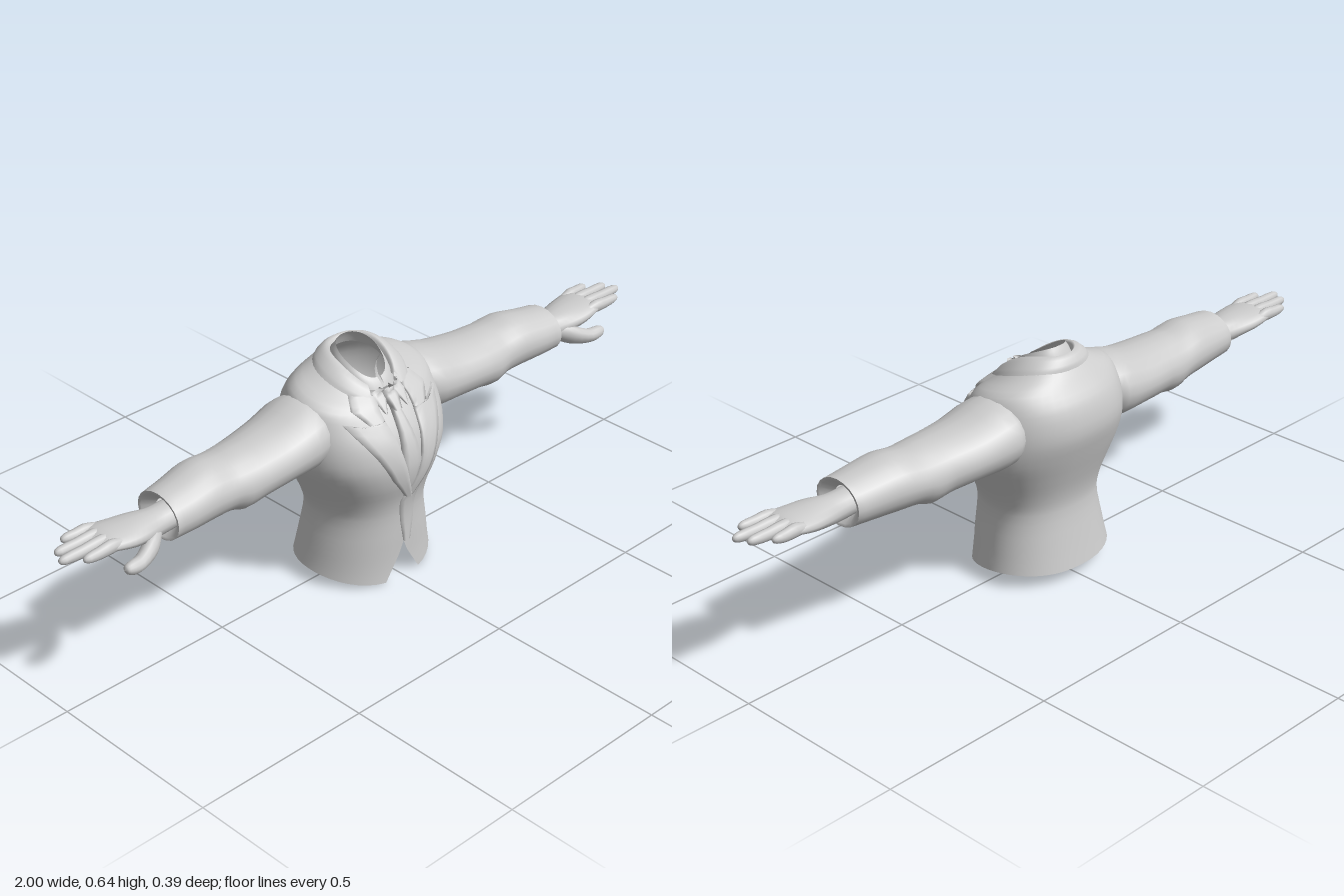
import * as THREE from 'three';

const material = new THREE.MeshStandardMaterial({ color: 0xcccccc, side: THREE.DoubleSide });
const V = (x, y, z) => new THREE.Vector3(x, y, z);

// Skin a list of point rows into a surface
function skin(name, rows, closed = false) {
  const n = rows[0].length, index = [];
  for (let i = 0; i < rows.length - 1; i++) {
    for (let j = 0; j < (closed ? n : n - 1); j++) {
      const a = i * n + j, b = i * n + (j + 1) % n;
      index.push(a, b, b + n, a, b + n, a + n);
    }
  }
  const g = new THREE.BufferGeometry().setFromPoints(rows.flat());
  g.setIndex(index);
  g.computeVertexNormals();
  const mesh = new THREE.Mesh(g, material);
  mesh.name = name;
  return mesh;
}

// Add in-between rows by a spline along every column
function smoothRows(rows, sub) {
  const count = (rows.length - 1) * sub;
  const columns = rows[0].map((_, j) => {
    const curve = new THREE.CatmullRomCurve3(rows.map(r => r[j]));
    return Array.from({ length: count + 1 }, (_, k) => curve.getPoint(k / count));
  });
  return Array.from({ length: count + 1 }, (_, k) => columns.map(c => c[k]));
}

// Horizontal body ring, tilted front to back and split open by a gap at the front
function ring([yFront, yBack, hw, zFront, zBack, gap, lift], segments = 40) {
  const e = 0.88, zc = -0.01;
  const start = Math.asin(Math.pow(gap / hw, 1 / e));
  return Array.from({ length: segments + 1 }, (_, j) => {
    const a = start + (2 * Math.PI - 2 * start) * j / segments;
    const s = Math.sin(a), c = Math.cos(a);
    const z = zc + c * (c > 0 ? zFront - zc : zc - zBack);
    const t = (z - zBack) / (zFront - zBack);
    return V(hw * Math.sign(s) * Math.pow(Math.abs(s), e), yBack + (yFront - yBack) * t + lift * s * s, z);
  });
}

// Limb along x from sections [x, y, z, ry, rz]
function limb(name, sections, segments = 16, sub = 3) {
  const rows = sections.map(([x, y, z, ry, rz]) => Array.from({ length: segments }, (_, j) => {
    const a = 2 * Math.PI * j / segments;
    return V(x, y + ry * Math.cos(a), z + rz * Math.sin(a));
  }));
  return skin(name, smoothRows(rows, sub), true);
}

// Jacket rings: yFront, yBack, half width, zFront, zBack, front gap, side lift
const bodyKeys = [
  [0.0, 0.035, 0.195, 0.158, -0.157, 0.06, 0.02],
  [0.11, 0.11, 0.18, 0.156, -0.142, 0, 0],
  [0.2, 0.2, 0.165, 0.157, -0.128, 0, 0],
  [0.25, 0.25, 0.178, 0.165, -0.134, 0, 0],
  [0.31, 0.31, 0.205, 0.183, -0.152, 0.018, 0],
  [0.37, 0.37, 0.23, 0.188, -0.172, 0.035, 0],
  [0.43, 0.44, 0.233, 0.172, -0.19, 0.045, 0],
  [0.48, 0.51, 0.222, 0.14, -0.178, 0.055, 0.005],
  [0.505, 0.555, 0.202, 0.12, -0.148, 0.058, 0.014],
  [0.525, 0.59, 0.14, 0.105, -0.122, 0.055, 0.01],
  [0.54, 0.618, 0.075, 0.085, -0.098, 0.045, 0.018],
];

// Ungapped body used only to find the chest surface
const chest = skin('chest', smoothRows(bodyKeys.map(k => ring([...k.slice(0, 5), 0, k[6]])), 3));
const ray = new THREE.Raycaster();
function chestZ(x, y) {
  for (let k = 0; k < 20; k++, y -= 0.01) {
    ray.set(V(x, y, 1), V(0, 0, -1));
    const hit = ray.intersectObject(chest)[0];
    if (hit && hit.point.z > -0.03) return hit.point.z;
  }
  return 0;
}

// Cloth strip on the chest from rows [xInner, yInner, xOuter, yOuter], edges turned in
function patch(name, keys, offset, side = 1, sub = 3, edge = -0.003) {
  const across = [0, 0, 0.25, 0.5, 0.75, 1, 1];
  const rows = [];
  for (let i = 0; i < (keys.length - 1) * sub + 1; i++) {
    const k = Math.min(Math.floor(i / sub), keys.length - 2), f = i / sub - k;
    const [xi, yi, xo, yo] = keys[k].map((v, m) => v + (keys[k + 1][m] - v) * f);
    const row = across.map((u, j) => {
      const x = side * (xi + (xo - xi) * u), y = yi + (yo - yi) * u;
      return V(x, y, chestZ(x, y) + (j === 0 || j === 6 ? edge : offset));
    });
    rows.push(side < 0 ? row.reverse() : row);
  }
  return skin(name, rows);
}

function createArm() {
  const arm = new THREE.Group();
  arm.add(limb('sleeve', [
    [0.16, 0.455, -0.025, 0.075, 0.09], [0.2, 0.452, -0.025, 0.091, 0.113],
    [0.3, 0.438, -0.02, 0.079, 0.109], [0.4, 0.43, -0.013, 0.077, 0.1],
    [0.45, 0.425, -0.012, 0.081, 0.096], [0.49, 0.431, -0.012, 0.073, 0.092],
    [0.55, 0.436, -0.008, 0.075, 0.09], [0.63, 0.431, 0, 0.068, 0.083],
    [0.69, 0.428, 0.004, 0.063, 0.077],
  ], 20));
  arm.add(limb('cuffLining', [
    [0.69, 0.428, 0.004, 0.063, 0.077], [0.688, 0.428, 0.004, 0.055, 0.068],
    [0.66, 0.425, 0.004, 0.036, 0.044],
  ], 20, 1));
  arm.add(limb('palm', [
    [0.65, 0.422, 0.005, 0.034, 0.042], [0.71, 0.42, 0.005, 0.035, 0.044],
    [0.76, 0.426, 0.005, 0.033, 0.058], [0.81, 0.432, 0.003, 0.028, 0.066],
    [0.86, 0.44, 0, 0.02, 0.065], [0.885, 0.442, 0, 0.01, 0.058],
  ]));
  // Four fingers, front to back
  for (const [z, tip] of [[0.048, 0.955], [0.016, 1.0], [-0.017, 0.985], [-0.049, 0.94]]) {
    const mid = (0.86 + tip) / 2;
    arm.add(limb('finger', [
      [0.84, 0.44, z * 0.95, 0.014, 0.014], [0.87, 0.444, z, 0.0175, 0.0165],
      [mid, 0.443, z * 1.04, 0.0155, 0.0145], [tip - 0.015, 0.445, z * 1.08, 0.012, 0.0125],
      [tip - 0.003, 0.445, z * 1.08, 0.007, 0.007], [tip, 0.445, z * 1.08, 0.0005, 0.0005],
    ], 10, 2));
  }
  arm.add(limb('thumb', [
    [0.71, 0.412, 0.025, 0.018, 0.018], [0.755, 0.399, 0.055, 0.028, 0.025],
    [0.81, 0.385, 0.078, 0.02, 0.02], [0.84, 0.386, 0.083, 0.018, 0.017],
    [0.857, 0.388, 0.084, 0.011, 0.011], [0.862, 0.389, 0.084, 0.0005, 0.0005],
  ], 12));
  return arm;
}

export function createModel() {
  const model = new THREE.Group();
  model.name = 'suitTorso';

  model.add(skin('jacketBody', smoothRows(bodyKeys.map(k => ring(k)), 3)));
  model.add(skin('jacketCollar', smoothRows([
    [0.515, 0.59, 0.125, 0.112, -0.122, 0.062, 0.02],
    [0.525, 0.605, 0.112, 0.112, -0.118, 0.06, 0.022],
    [0.545, 0.625, 0.076, 0.09, -0.098, 0.048, 0.024],
    [0.54, 0.612, 0.068, 0.08, -0.088, 0.045, 0.018],
  ].map(k => ring(k)), 2)));

  // Shirt and tie inside the jacket opening
  model.add(patch('shirtFront', [[-0.03, 0.24, 0.03, 0.24], [-0.075, 0.42, 0.075, 0.42],
    [-0.075, 0.535, 0.075, 0.535]], -0.012, 1, 5, -0.02));
  model.add(skin('shirtCollar', smoothRows([
    [0.525, 0.6, 0.074, 0.088, -0.09, 0.004, 0.01],
    [0.55, 0.622, 0.066, 0.075, -0.08, 0.004, 0.01],
    [0.565, 0.638, 0.057, 0.062, -0.07, 0.006, 0.008],
  ].map(k => ring(k)), 2)));
  model.add(patch('tieBlade', [[-0.012, 0.25, 0.012, 0.25], [-0.03, 0.36, 0.03, 0.36],
    [-0.011, 0.505, 0.011, 0.505]], 0.002, 1, 5, -0.012));
  model.add(patch('tieKnot', [[-0.011, 0.498, 0.011, 0.498], [-0.02, 0.53, 0.02, 0.53],
    [-0.016, 0.547, 0.016, 0.547]], 0.01, 1, 3, -0.01));

  // Overlapping front edge below the lapels
  model.add(patch('frontOverlap', [[-0.001, 0.11, 0.02, 0.11], [-0.012, 0.17, 0.03, 0.17],
    [-0.021, 0.24, 0.03, 0.24], [0.0, 0.29, 0.045, 0.3]], 0.005));

  for (const side of [1, -1]) {
    const label = side > 0 ? 'left' : 'right';
    model.add(patch(label + 'Lapel', [[-0.012, 0.25, 0.012, 0.26], [0.017, 0.32, 0.065, 0.33],
      [0.034, 0.38, 0.108, 0.41], [0.044, 0.43, 0.142, 0.465], [0.052, 0.475, 0.16, 0.498],
      [0.055, 0.487, 0.105, 0.483]], 0.009, side));
    model.add(patch(label + 'CollarTip', [[0.055, 0.488, 0.1, 0.488], [0.056, 0.51, 0.126, 0.522],
      [0.05, 0.54, 0.105, 0.55]], 0.01, side));
    model.add(patch(label + 'ShirtCollarPoint', [[0.036, 0.495, 0.04, 0.497], [0.014, 0.535, 0.052, 0.53],
      [0.004, 0.552, 0.05, 0.55]], 0.004, side));
    const arm = createArm();
    arm.name = label + 'Arm';
    arm.scale.x = side;
    model.add(arm);
  }
  return model;
}
